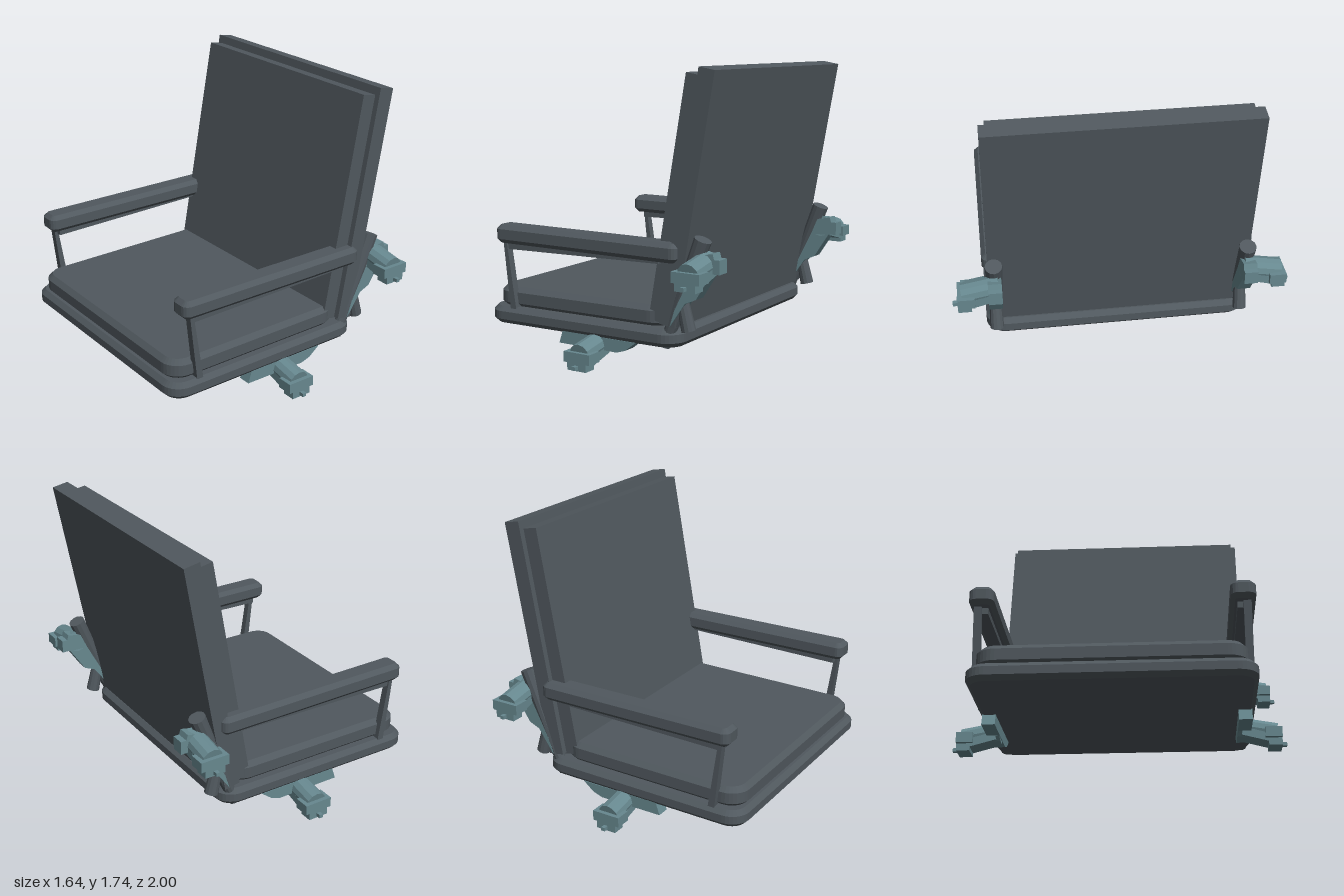
import * as THREE from 'three';

export function createModel() {
  const model = new THREE.Group();
  const grey = new THREE.MeshStandardMaterial({ color: 0x50585e });
  grey.name = 'slate grey';
  grey.flatShading = true;
  const teal = new THREE.MeshStandardMaterial({ color: 0x67888f });
  teal.name = 'muted teal';
  teal.flatShading = true;

  const add = (name, geometry, material, parent = model) => {
    const mesh = new THREE.Mesh(geometry, material);
    mesh.name = name;
    parent.add(mesh);
    return mesh;
  };

  // Bevelled slab lying flat, with rounded corners seen from above
  function slab(x0, x1, y0, y1, z0, z1, radius, bevel, steps) {
    const w = (x1 - x0) / 2 - bevel, d = (z1 - z0) / 2 - bevel;
    const r = radius;
    const s = new THREE.Shape();
    s.moveTo(-w + r, -d);
    s.absarc(w - r, -d + r, r, -Math.PI / 2, 0);
    s.absarc(w - r, d - r, r, 0, Math.PI / 2);
    s.absarc(-w + r, d - r, r, Math.PI / 2, Math.PI);
    s.absarc(-w + r, -d + r, r, Math.PI, Math.PI * 1.5);
    const g = new THREE.ExtrudeGeometry(s, {
      depth: y1 - y0 - 2 * bevel, bevelEnabled: true, bevelSize: bevel,
      bevelThickness: bevel, bevelSegments: 1, curveSegments: steps,
    });
    g.rotateX(-Math.PI / 2);
    g.translate((x0 + x1) / 2, y0 + bevel, (z0 + z1) / 2);
    return g;
  }

  // Side outline in x and y, given thickness across z
  function plate(points, z0, z1) {
    const shape = new THREE.Shape(points.map(([x, y]) => new THREE.Vector2(x, y)));
    const g = new THREE.ExtrudeGeometry(shape, { depth: z1 - z0, bevelEnabled: false });
    return g.translate(0, 0, z0);
  }

  // Tapered rod between two points
  function rod(name, a, b, ra, rb, sides, material, parent) {
    const from = new THREE.Vector3(...a), to = new THREE.Vector3(...b);
    const dir = to.clone().sub(from);
    const mesh = add(name, new THREE.CylinderGeometry(rb, ra, dir.length(), sides), material, parent);
    mesh.position.copy(from).add(to).multiplyScalar(0.5);
    mesh.quaternion.setFromUnitVectors(new THREE.Vector3(0, 1, 0), dir.normalize());
    return mesh;
  }

  function block(name, size, pos, material, parent) {
    const mesh = add(name, new THREE.BoxGeometry(...size), material, parent);
    mesh.position.set(...pos);
    return mesh;
  }

  // Seat, tilted very slightly
  const seat = new THREE.Group();
  seat.name = 'seat';
  seat.rotation.z = 0.011;
  model.add(seat);
  add('seatBase', slab(-0.82, 0.553, 0.16, 0.265, -0.81, 0.81, 0.09, 0.028, 4), grey, seat);
  add('seatCushion', slab(-0.79, 0.45, 0.255, 0.383, -0.76, 0.76, 0.09, 0.03, 4), grey, seat);

  // Backrest: leaning cushion in front of a slightly wider panel
  add('backCushion', plate([[0.335, 0.31], [0.44, 0.29], [0.68, 1.685], [0.58, 1.703]], -0.75, 0.75), grey);
  add('backPanel', plate([[0.428, 0.3], [0.528, 0.283], [0.78, 1.717], [0.68, 1.735]], -0.785, 0.785), grey);

  // Clamp with a drooping arm, centred on x and resting at height y
  function clamp(x, y, s) {
    const g = new THREE.Group();
    g.name = 'clamp';
    g.position.set(x, y, 0);
    model.add(g);
    rod('clampArm', [0, 0.125, s * 0.72], [0, 0.085, s * 0.94], 0.068, 0.068, 12, teal, g);
    const strap = block('clampStrap', [0.13, 0.05, 0.17], [0, 0.068, s * 0.82], teal, g);
    strap.rotation.x = s * 0.26;
    block('clampJaw', [0.18, 0.062, 0.1], [0, 0.075, s * 0.92], teal, g);
    block('clampFoot', [0.13, 0.045, 0.08], [0, 0.0225, s * 0.93], teal, g);
    block('clampPin', [0.025, 0.022, 0.08], [0, 0.021, s * 0.96], teal, g);
  }

  for (const s of [1, -1]) {
    const zSpan = (a, b) => (s > 0 ? [a, b] : [-b, -a]);

    // Armrest with its underside rail
    add('armrest', slab(-0.742, 0.553, 0.652, 0.765, ...zSpan(0.672, 0.818), 0.02, 0.026, 2), grey);
    add('armrestRail', plate([[-0.67, 0.615], [0.42, 0.638], [0.42, 0.665], [-0.67, 0.665]], ...zSpan(0.71, 0.78)), grey);

    // Front post, thin at the top and wider at the foot
    add('frontPost', plate([[-0.645, 0.24], [-0.602, 0.24], [-0.668, 0.66], [-0.693, 0.66]], ...zSpan(0.745, 0.79)), grey);

    // Crossed rear posts
    rod('rearPost', [0.445, 0.167, s * 0.75], [0.692, 0.797, s * 0.75], 0.034, 0.051, 12, grey);
    rod('rearBrace', [0.603, 0.272, s * 0.75], [0.5, 0.68, s * 0.75], 0.042, 0.026, 12, grey);

    // Mounting plates for the clamps
    add('lowerMount', plate([[-0.275, 0.09], [0.14, 0.09], [0.2, 0.11], [0.27, 0.165], [-0.25, 0.165]], ...zSpan(0.71, 0.79)), teal);
    add('rearMount', plate([[0.5, 0.29], [0.6, 0.435], [0.67, 0.465], [0.77, 0.62], [0.82, 0.62],
      [0.82, 0.7], [0.785, 0.7], [0.775, 0.732], [0.63, 0.7]], ...zSpan(0.71, 0.79)), teal);

    clamp(-0.015, 0, s);
    clamp(0.71, 0.545, s);
  }
  return model;
}
